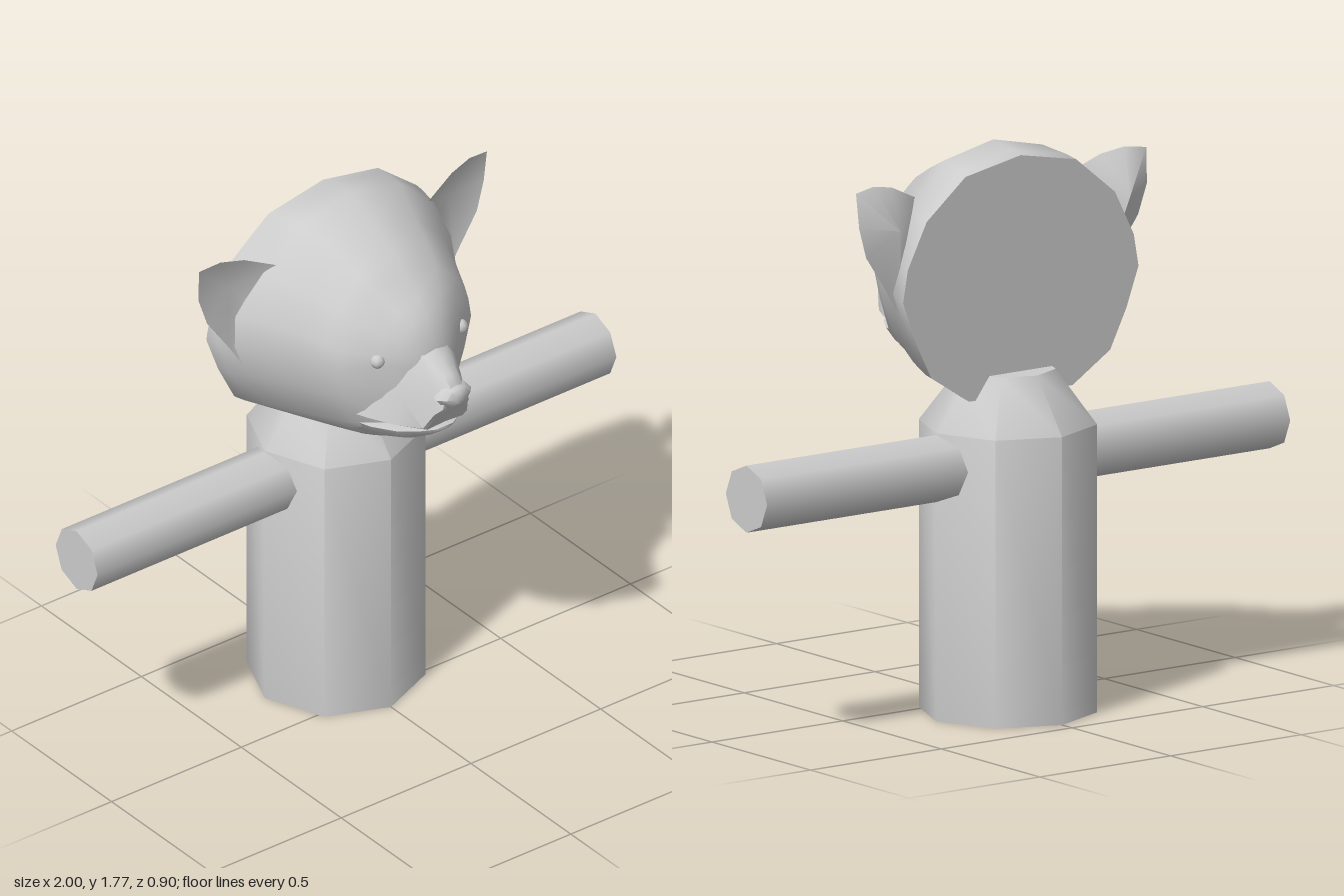
import * as THREE from 'three';
import { toCreasedNormals } from 'three/addons/utils/BufferGeometryUtils.js';

const grey = new THREE.MeshStandardMaterial({ color: 0xcccccc, side: THREE.DoubleSide });
grey.name = 'plain grey';

// Half cross-sections from top to bottom: x as a share of the half width, y from 1 (top) to -1 (bottom)
const SKULL = [[0, 1], [0.47, 0.9], [0.8, 0.6], [0.96, 0.25], [1, 0], [0.9, -0.36], [0.76, -0.73], [0.44, -1], [0, -1]];
const MUZZLE = [[0, 1], [0.4, 0.93], [0.65, 0.5], [0.85, -0.2], [1, -0.9], [0.8, -1], [0, -0.96]];
const JAW = [[0, 1], [0.8, 1], [1, 0.85], [0.8, -0.3], [0.5, -0.85], [0, -1]];
const OVAL = [[0, 1], [0.6, 0.85], [1, 0.1], [0.6, -0.75], [0, -1]];

// Skin over stations [z, top, bottom, halfWidth, middle], capped at both ends
function loft(half, stations, crease) {
  const ring = [...half, ...half.slice(1, -1).reverse().map(([x, y]) => [-x, y])];
  const n = ring.length, pos = [], idx = [];
  const mids = stations.map(([, t, b, , m]) => m ?? (t + b) / 2);
  stations.forEach(([z, top, bottom, w], r) => {
    for (const [x, y] of ring) {
      pos.push(x * w, mids[r] + y * (y > 0 ? top - mids[r] : mids[r] - bottom), z);
    }
  });
  const last = stations.length - 1;
  for (let r = 0; r < last; r++) {
    for (let i = 0; i < n; i++) {
      const a = r * n + i, b = r * n + (i + 1) % n;
      idx.push(a, a + n, b, b, a + n, b + n);
    }
  }
  const c = pos.length / 3;
  pos.push(0, mids[0], stations[0][0], 0, mids[last], stations[last][0]);
  for (let i = 0; i < n; i++) {
    const j = (i + 1) % n;
    idx.push(c, i, j, c + 1, last * n + j, last * n + i);
  }
  return finish(pos, idx, crease);
}

function finish(pos, idx, crease) {
  const g = new THREE.BufferGeometry();
  g.setAttribute('position', new THREE.Float32BufferAttribute(pos, 3));
  g.setIndex(idx);
  return toCreasedNormals(g.toNonIndexed(), crease);
}

// Cupped ear: a rim joined to a hollow front point and a bulging back point
function earGeometry(side) {
  const rim = [
    [0.555, 1.68, -0.14], [0.48, 1.69, -0.13], [0.4, 1.675, -0.115], [0.28, 1.62, -0.09],
    [0.33, 1.45, -0.12], [0.385, 1.27, -0.135], [0.44, 1.36, -0.14], [0.52, 1.475, -0.145], [0.55, 1.57, -0.15],
  ];
  const n = rim.length, idx = [];
  const pos = [...rim, [0.42, 1.56, -0.165], [0.44, 1.56, -0.215]].flatMap(([x, y, z]) => [x * side, y, z]);
  for (let i = 0; i < n; i++) {
    const [a, b] = side > 0 ? [i, (i + 1) % n] : [(i + 1) % n, i];
    idx.push(n, b, a, n + 1, a, b);
  }
  return finish(pos, idx, 0.9);
}

export function createModel() {
  const model = new THREE.Group();
  model.name = 'bearHeadFigure';
  const add = (parent, name, geometry, x = 0, y = 0, z = 0) => {
    const mesh = new THREE.Mesh(geometry, grey);
    mesh.name = name;
    mesh.position.set(x, y, z);
    parent.add(mesh);
    return mesh;
  };

  // Eight-sided body, open underneath, with sloping shoulders
  const profile = [[0.275, 0], [0.275, 0.9], [0.147, 1.07], [0, 1.07]].map(p => new THREE.Vector2(...p));
  add(model, 'body', toCreasedNormals(new THREE.LatheGeometry(profile, 8).toNonIndexed(), 0.85), 0, 0, -0.175);

  const head = new THREE.Group();
  head.name = 'head';
  model.add(head);

  // Skull with a flat back
  add(head, 'skull', loft(SKULL, [
    [-0.24, 1.745, 1.0, 0.45, 1.34],
    [-0.2, 1.755, 1.005, 0.44, 1.34],
    [-0.1, 1.77, 1.02, 0.4, 1.36],
    [0.02, 1.715, 1.035, 0.325, 1.36],
    [0.12, 1.66, 1.055, 0.28, 1.36],
    [0.17, 1.62, 1.07, 0.255, 1.36],
    [0.24, 1.555, 1.09, 0.17, 1.37],
    [0.28, 1.52, 1.11, 0.12, 1.38],
    [0.32, 1.43, 1.17, 0.06, 1.36],
  ], 1.0));

  // Muzzle above the mouth, lower jaw beneath it
  add(head, 'muzzle', loft(MUZZLE, [
    [0.12, 1.44, 1.172, 0.22],
    [0.22, 1.44, 1.172, 0.18],
    [0.3, 1.43, 1.17, 0.135],
    [0.37, 1.385, 1.175, 0.085],
    [0.4, 1.365, 1.235, 0.065],
    [0.425, 1.34, 1.265, 0.05],
  ], 0.9));
  add(head, 'lowerJaw', loft(JAW, [
    [0.1, 1.16, 1.055, 0.215],
    [0.22, 1.155, 1.08, 0.17],
    [0.29, 1.155, 1.1, 0.125],
    [0.345, 1.16, 1.13, 0.07],
    [0.37, 1.162, 1.15, 0.03],
  ], 0.9));
  add(head, 'nose', loft(OVAL, [
    [0.39, 1.335, 1.255, 0.06],
    [0.415, 1.34, 1.255, 0.066],
    [0.44, 1.335, 1.27, 0.045],
    [0.45, 1.32, 1.285, 0.02],
  ], 0.9));

  // Mirrored eyes, ears and arms
  for (const [label, side] of [['left', 1], ['right', -1]]) {
    add(head, label + 'Eye', new THREE.SphereGeometry(0.024, 8, 6), side * 0.16, 1.395, 0.24);
    add(head, label + 'Ear', earGeometry(side));
    const arm = new THREE.CylinderGeometry(0.105, 0.105, 0.8, 8).rotateZ(-side * Math.PI / 2);
    add(model, label + 'Arm', arm, side * 0.6, 0.79, -0.175);
  }
  return model;
}
